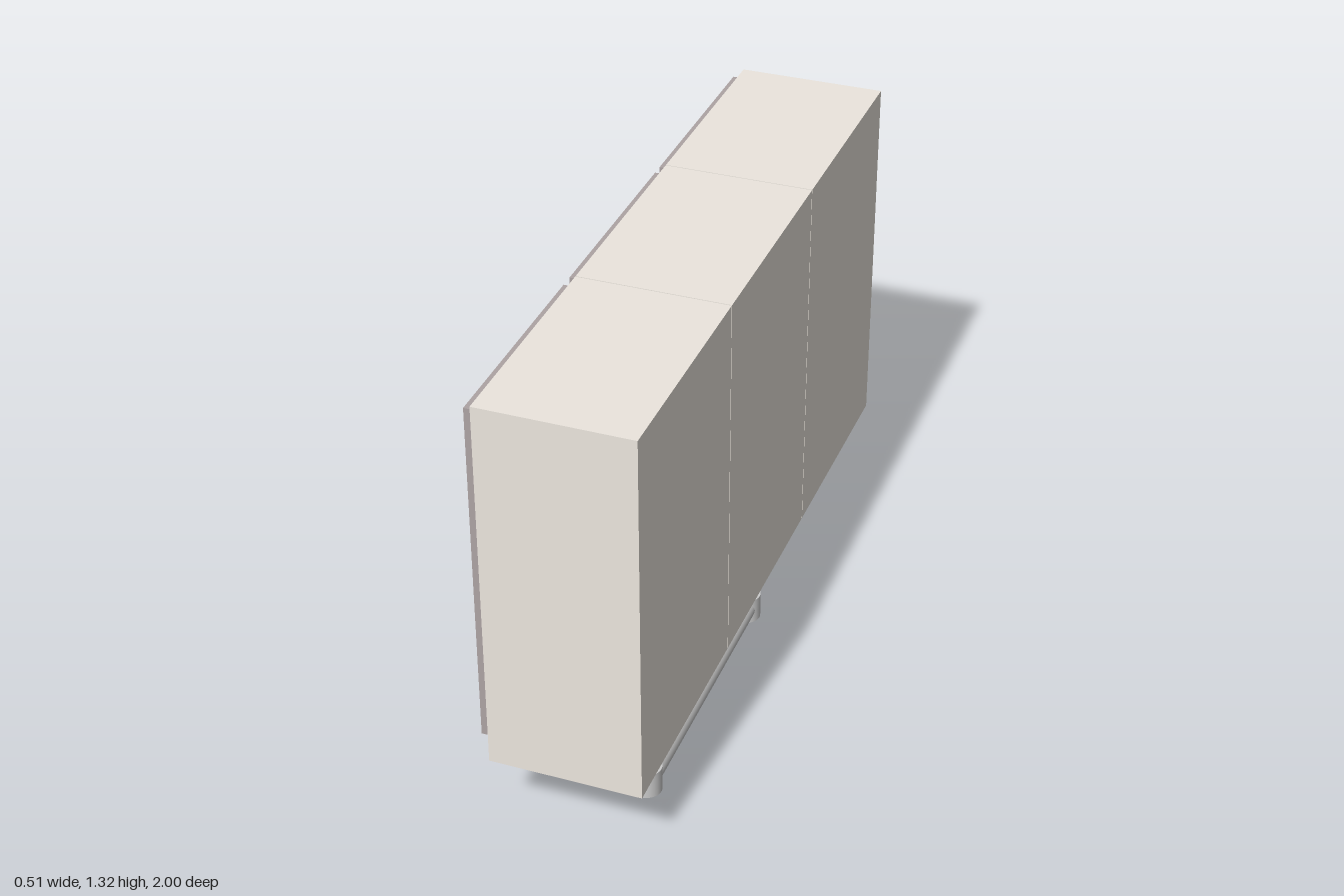
import * as THREE from 'three';

const mat = (color, side = THREE.FrontSide) => new THREE.MeshStandardMaterial({ color, side });

export function createModel() {
  const root = new THREE.Group();
  const cream = mat(0xece6de), taupe = mat(0xada4a4), grey = mat(0xcccccc);

  const add = (parent, name, geo, material, x, y, z) => {
    const m = new THREE.Mesh(geo, material);
    m.name = name;
    m.position.set(x, y, z);
    parent.add(m);
    return m;
  };

  // Three wall units side by side, doors on the -x face
  const doors = [[-0.675, -0.45], [-0.01, -0.225], [0.66, 0.437]];
  doors.forEach(([doorZ, handleZ], i) => {
    add(root, 'cabinet', new THREE.BoxGeometry(0.43, 1.105, 0.664), cream, 0.035, 0.7725, (i - 1) * 0.667);
    add(root, 'door', new THREE.BoxGeometry(0.028, 1.015, 0.63), taupe, -0.195, 0.793, doorZ);

    // Rounded handle bar on two posts
    const handle = new THREE.Group();
    handle.name = 'handle';
    handle.position.set(-0.209, 0.342, handleZ);
    const grip = add(handle, 'grip', new THREE.CapsuleGeometry(0.018, 0.086, 6, 16), grey, -0.033, 0, 0);
    grip.rotation.x = Math.PI / 2;
    for (const s of [-1, 1]) {
      const post = add(handle, 'post', new THREE.CylinderGeometry(0.011, 0.011, 0.036, 14), grey, -0.016, 0, s * 0.035);
      post.rotation.z = Math.PI / 2;
      const foot = add(handle, 'foot', new THREE.CylinderGeometry(0.016, 0.016, 0.006, 14), grey, -0.003, 0, s * 0.035);
      foot.rotation.z = Math.PI / 2;
    }
    root.add(handle);
  });

  // Towel bar between two upright round mounts
  const bar = new THREE.Group();
  bar.name = 'towelBar';
  const tube = add(bar, 'tube', new THREE.CylinderGeometry(0.034, 0.034, 0.8, 28), grey, 0.214, 0.178, 0.47);
  tube.rotation.x = Math.PI / 2;
  for (const z of [0.07, 0.87]) {
    add(bar, 'mount', new THREE.CylinderGeometry(0.042, 0.042, 0.076, 28), grey, 0.213, 0.178, z);
    add(bar, 'mountTop', new THREE.CylinderGeometry(0.03, 0.03, 0.01, 20), grey, 0.213, 0.217, z);
  }
  root.add(bar);

  // Hook-shaped rack plates, leaning slightly along z
  const hook = new THREE.Shape();
  hook.moveTo(0.2, 0.22);
  hook.lineTo(0.2, 0.13);
  hook.absellipse(0.022, 0.13, 0.178, 0.127, 0, -Math.PI, true);
  hook.lineTo(-0.08, 0.142);
  hook.absellipse(0.022, 0.13, 0.103, 0.05, -Math.PI, 0, false);
  hook.lineTo(0.125, 0.22);
  hook.closePath();
  const plate = new THREE.ExtrudeGeometry(hook, { depth: 0.014, bevelEnabled: false, curveSegments: 28 });
  const p = plate.attributes.position;
  for (let i = 0; i < p.count; i++) p.setZ(i, p.getZ(i) - 0.007 + (0.11 - p.getY(i)) * 0.07);
  plate.computeVertexNormals();
  const rack = new THREE.Group();
  rack.name = 'dishRack';
  for (let i = 0; i < 18; i++) add(rack, 'rackPlate', plate, grey, 0, 0, -0.066 - i * 0.0522);
  const rod = add(rack, 'rackRod', new THREE.CylinderGeometry(0.005, 0.005, 0.89, 10), grey, 0.022, 0.069, -0.51);
  rod.rotation.x = Math.PI / 2;
  root.add(rack);

  return root;
}
